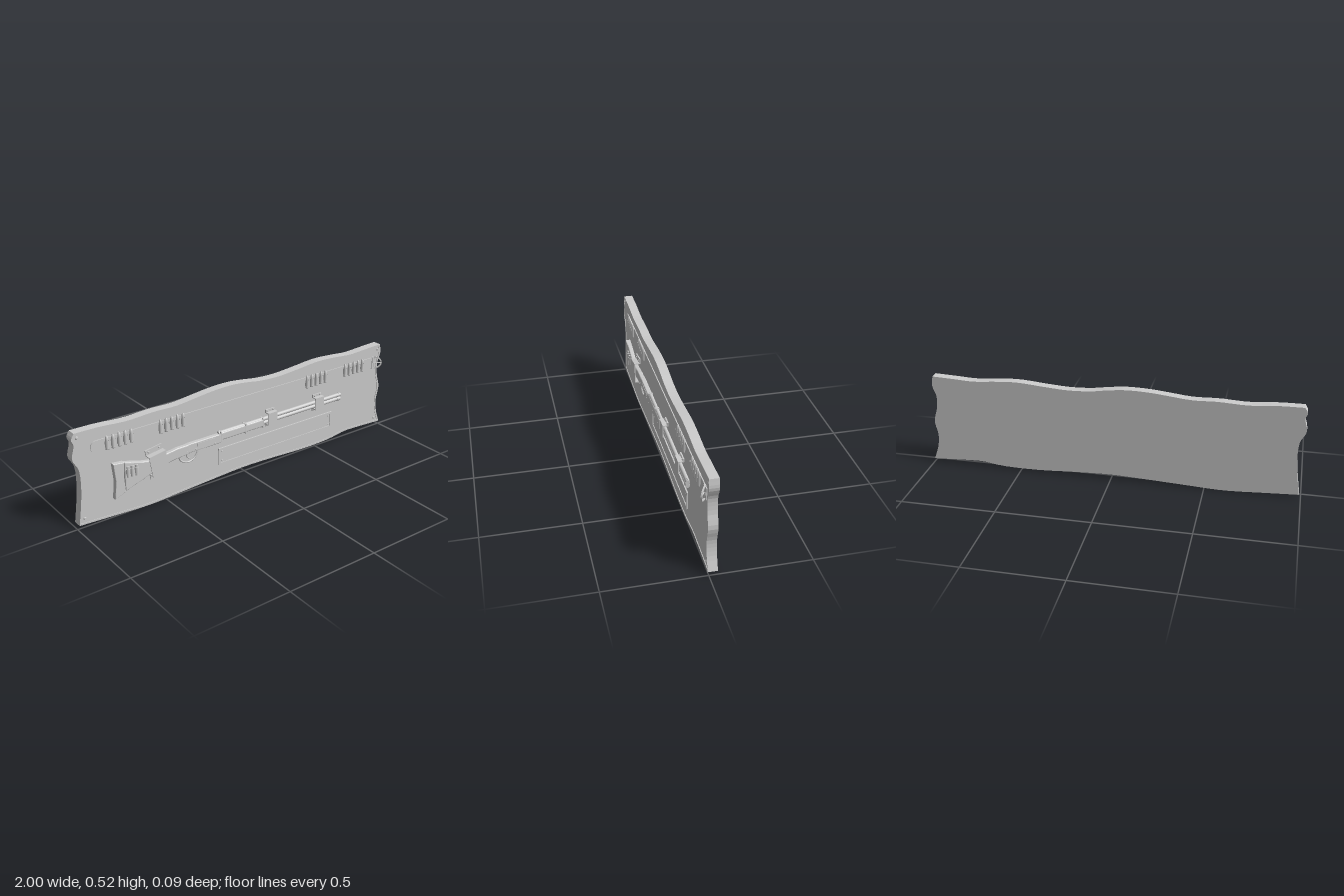
import * as THREE from 'three';

const mat = new THREE.MeshStandardMaterial({ color: 0xcccccc, side: THREE.DoubleSide });
const V = (x, y) => new THREE.Vector2(x, y);
const pts = (a) => a.map(([x, y]) => V(x, y));

function add(parent, name, geo, x = 0, y = 0, z = 0) {
  const m = new THREE.Mesh(geo, mat);
  m.name = name;
  m.position.set(x, y, z);
  parent.add(m);
  return m;
}
// Flat slab between two depths, with optional hole and bevel
function slab(outline, z0, z1, bevel = 0, hole = null) {
  const s = new THREE.Shape(outline);
  if (hole) s.holes.push(new THREE.Path(hole));
  const g = new THREE.ExtrudeGeometry(s, {
    depth: z1 - z0 - 2 * bevel, bevelEnabled: bevel > 0, bevelSize: bevel,
    bevelThickness: bevel, bevelOffset: -bevel, bevelSegments: 3, curveSegments: 12,
  });
  return g.translate(0, 0, z0 + bevel);
}
const box = (w, h, z0, z1) => new THREE.BoxGeometry(w, h, z1 - z0).translate(0, 0, (z0 + z1) / 2);
const rect = (x0, x1, y0, y1) => pts([[x0, y0], [x1, y0], [x1, y1], [x0, y1]]);
const screwGeo = (r, h) => new THREE.CylinderGeometry(r * 0.7, r, h, 12).rotateX(Math.PI / 2);

// Tube lying along x
function rod(parent, name, x0, x1, y, z, r) {
  return add(parent, name, new THREE.CylinderGeometry(r, r, x1 - x0, 20).rotateZ(-Math.PI / 2), (x0 + x1) / 2, y, z);
}
// Smooth wavy edge through a few points
function wave(a) {
  return new THREE.CatmullRomCurve3(a.map(([x, y]) => new THREE.Vector3(x, y, 0)))
    .getPoints(a.length * 3).slice(0, -1).map((p) => V(p.x, p.y));
}
function inset(loop, d) {
  return loop.map((p, i) => {
    const a = loop[(i + loop.length - 1) % loop.length], b = loop[(i + 1) % loop.length];
    const t = b.clone().sub(a).normalize();
    return V(p.x + t.y * d, p.y - t.x * d);
  });
}

function makeBoard(g) {
  const left = [[-0.99, 0.02], [-0.975, 0.12], [-0.965, 0.22], [-0.97, 0.32], [-0.999, 0.38], [-0.985, 0.45], [-0.995, 0.48], [-0.98, 0.51]];
  const top = [[-0.98, 0.51], [-0.85, 0.508], [-0.7, 0.497], [-0.55, 0.503], [-0.42, 0.5], [-0.3, 0.512], [-0.2, 0.522], [-0.08, 0.525],
    [0.02, 0.515], [0.1, 0.503], [0.22, 0.497], [0.35, 0.505], [0.5, 0.517], [0.62, 0.512], [0.74, 0.502], [0.85, 0.507], [0.97, 0.512]];
  const right = [[0.97, 0.512], [0.977, 0.46], [0.957, 0.4], [0.96, 0.33], [0.98, 0.25], [0.965, 0.17], [0.972, 0.1], [0.999, 0.02]];
  const bottom = [[0.999, 0.02], [0.8, 0.03], [0.72, 0.031], [0.6, 0.015], [0.4, 0.012], [0.2, 0.022], [0, 0.028], [-0.2, 0.02],
    [-0.4, 0.01], [-0.6, 0.001], [-0.8, 0.01], [-0.99, 0.02]];
  const loop = [left, top, right, bottom].flatMap(wave);
  add(g, 'board', slab(loop, -0.043, 0.002));
  add(g, 'boardRim', slab(loop, 0.002, 0.005, 0, inset(loop, 0.01)));
  for (const [x, y] of [[-0.965, 0.483], [0.957, 0.483], [-0.957, 0.05], [0.96, 0.052]]) {
    add(g, 'boardScrew', screwGeo(0.009, 0.005), x, y, 0.004);
  }
}

function makeBelt(g) {
  // Strap with a rounded tip
  const s = new THREE.Shape();
  s.moveTo(0.94, 0.38);
  s.lineTo(0.94, 0.443);
  s.lineTo(-0.87, 0.443);
  s.absarc(-0.87, 0.4115, 0.0315, Math.PI / 2, Math.PI * 1.5, false);
  s.closePath();
  add(g, 'strap', slab(s.getPoints(12), 0.001, 0.007));

  // Groups of cartridges held in loops
  const cartridge = new THREE.LatheGeometry(pts([[0, -0.032], [0.009, -0.032], [0.009, -0.028], [0.0085, -0.027],
    [0.0085, 0.018], [0.0075, 0.028], [0.0045, 0.038], [0, 0.042]]), 12);
  const loop = new THREE.CylinderGeometry(0.0115, 0.0115, 0.032, 12, 1, true);
  for (const start of [-0.815, -0.518, 0.422, 0.7]) {
    for (let i = 0; i < 5; i++) {
      const x = start + i * 0.033;
      add(g, 'cartridge', cartridge, x, 0.414, 0.009);
      add(g, 'cartridgeLoop', loop, x, 0.412, 0.009);
    }
  }
  // Tilted D-shaped buckle with its prong
  const b = new THREE.Group();
  b.name = 'buckle';
  const d = (w, h) => new THREE.Shape().moveTo(0, -h).bezierCurveTo(w * 1.25, -h, w * 1.25, h, 0, h).getPoints(16);
  add(b, 'buckleFrame', slab(d(0.052, 0.037), -0.003, 0.003, 0, d(0.04, 0.029).map((p) => V(p.x + 0.004, p.y))));
  rod(b, 'prong', 0, 0.046, 0, 0.003, 0.003);
  b.position.set(0.922, 0.412, 0.008);
  b.rotation.y = -0.6;
  g.add(b);
  add(g, 'buckleKeeper', box(0.012, 0.07, 0.002, 0.012), 0.916, 0.412);
}

function makeGun(g) {
  // Stock and grip
  const stock = new THREE.Shape().moveTo(-0.742, 0.298);
  stock.lineTo(-0.665, 0.277);
  stock.quadraticCurveTo(-0.62, 0.262, -0.58, 0.262);
  stock.quadraticCurveTo(-0.5, 0.27, -0.44, 0.28);
  stock.lineTo(-0.365, 0.28);
  stock.lineTo(-0.365, 0.228);
  stock.lineTo(-0.45, 0.222);
  stock.quadraticCurveTo(-0.53, 0.21, -0.6, 0.185);
  stock.lineTo(-0.742, 0.138);
  add(g, 'stock', slab(stock.getPoints(8), 0.006, 0.032, 0.006));
  add(g, 'buttPad', slab(pts([[-0.803, 0.306], [-0.742, 0.299], [-0.748, 0.22], [-0.742, 0.137], [-0.803, 0.113], [-0.794, 0.21]]), 0.006, 0.034, 0.004));

  // Receiver, ejection port and pins
  add(g, 'receiver', slab(pts([[-0.42, 0.232], [-0.17, 0.232], [-0.17, 0.282], [-0.365, 0.282], [-0.42, 0.274]]), 0.004, 0.031, 0.005));
  add(g, 'ejectionPort', box(0.11, 0.017, 0.028, 0.033), -0.265, 0.264);
  for (const x of [-0.38, -0.33, -0.21]) add(g, 'pin', screwGeo(0.005, 0.004), x, 0.244, 0.032);

  // Trigger and guard
  const guard = new THREE.CatmullRomCurve3([[-0.425, 0.23], [-0.412, 0.198], [-0.37, 0.178], [-0.328, 0.192], [-0.305, 0.235]]
    .map(([x, y]) => new THREE.Vector3(x, y, 0.018)));
  add(g, 'triggerGuard', new THREE.TubeGeometry(guard, 24, 0.0045, 8));
  const trigger = new THREE.QuadraticBezierCurve3(new THREE.Vector3(-0.375, 0.233, 0.018),
    new THREE.Vector3(-0.382, 0.21, 0.018), new THREE.Vector3(-0.362, 0.196, 0.018));
  add(g, 'trigger', new THREE.TubeGeometry(trigger, 8, 0.0035, 6));

  // Barrel over magazine tube
  rod(g, 'barrel', -0.18, 0.662, 0.284, 0.017, 0.0105);
  rod(g, 'magazineTube', -0.18, 0.655, 0.262, 0.017, 0.0105);
  rod(g, 'magazineCap', 0.635, 0.66, 0.262, 0.017, 0.0122);
  add(g, 'frontSight', new THREE.SphereGeometry(0.004, 8, 6), 0.65, 0.296, 0.017);

  // Sliding fore-end with end and middle bands
  add(g, 'foreEnd', slab(rect(-0.17, 0.11, 0.245, 0.288), 0.005, 0.031, 0.007));
  for (const x of [-0.168, -0.01, 0.106]) add(g, 'foreEndBand', slab(rect(x - 0.005, x + 0.005, 0.24, 0.295), 0.004, 0.032, 0.003));

  // Spare shells in a sleeve on the stock
  const shell = new THREE.CylinderGeometry(0.0095, 0.0095, 0.058, 12);
  const cuff = new THREE.CylinderGeometry(0.012, 0.012, 0.03, 12);
  for (let i = 0; i < 3; i++) {
    add(g, 'stockShell', shell, -0.724 + i * 0.024, 0.242 - i * 0.002, 0.03);
    add(g, 'stockShellLoop', cuff, -0.724 + i * 0.024, 0.242 - i * 0.002, 0.03);
  }
}

// Wall bracket: raised bridge with a screwed tab above and below
function makeBracket(g, x, y, w, h, tab, height, angle) {
  const b = new THREE.Group();
  b.name = 'bracket';
  b.position.set(x, y, 0);
  b.rotation.z = angle;
  add(b, 'bridge', box(w, h, height - 0.005, height));
  for (const s of [-1, 1]) {
    add(b, 'bridgeSide', box(w, 0.005, 0.002, height), 0, s * (h / 2 - 0.0025));
    add(b, 'bracketTab', box(w, tab, 0.002, 0.009), 0, s * (h + tab) / 2);
    for (const t of [-1, 1]) add(b, 'bracketScrew', screwGeo(0.006, 0.005), t * w * 0.32, s * (h + tab) / 2, 0.011);
  }
  g.add(b);
}

export function createModel() {
  const root = new THREE.Group();
  root.name = 'wallDisplay';
  const part = (name, build) => {
    const g = new THREE.Group();
    g.name = name;
    build(g);
    root.add(g);
  };
  part('woodenBoard', makeBoard);
  part('cartridgeBelt', makeBelt);
  part('shotgun', makeGun);
  part('brackets', (g) => {
    makeBracket(g, -0.55, 0.233, 0.097, 0.115, 0.027, 0.039, 0.16);
    makeBracket(g, 0.169, 0.277, 0.062, 0.07, 0.014, 0.033, 0);
    makeBracket(g, 0.5, 0.277, 0.062, 0.07, 0.014, 0.033, 0);
  });
  part('namePlate', (g) => {
    add(g, 'plate', slab(rect(-0.165, 0.61, 0.095, 0.182), 0.001, 0.005));
    add(g, 'plateFrame', slab(rect(-0.17, 0.615, 0.09, 0.187), 0.001, 0.009, 0, rect(-0.158, 0.603, 0.102, 0.175)));
    for (const x of [-0.147, 0.592]) for (const y of [0.112, 0.165]) add(g, 'plateScrew', screwGeo(0.005, 0.004), x, y, 0.006);
  });
  return root;
}
